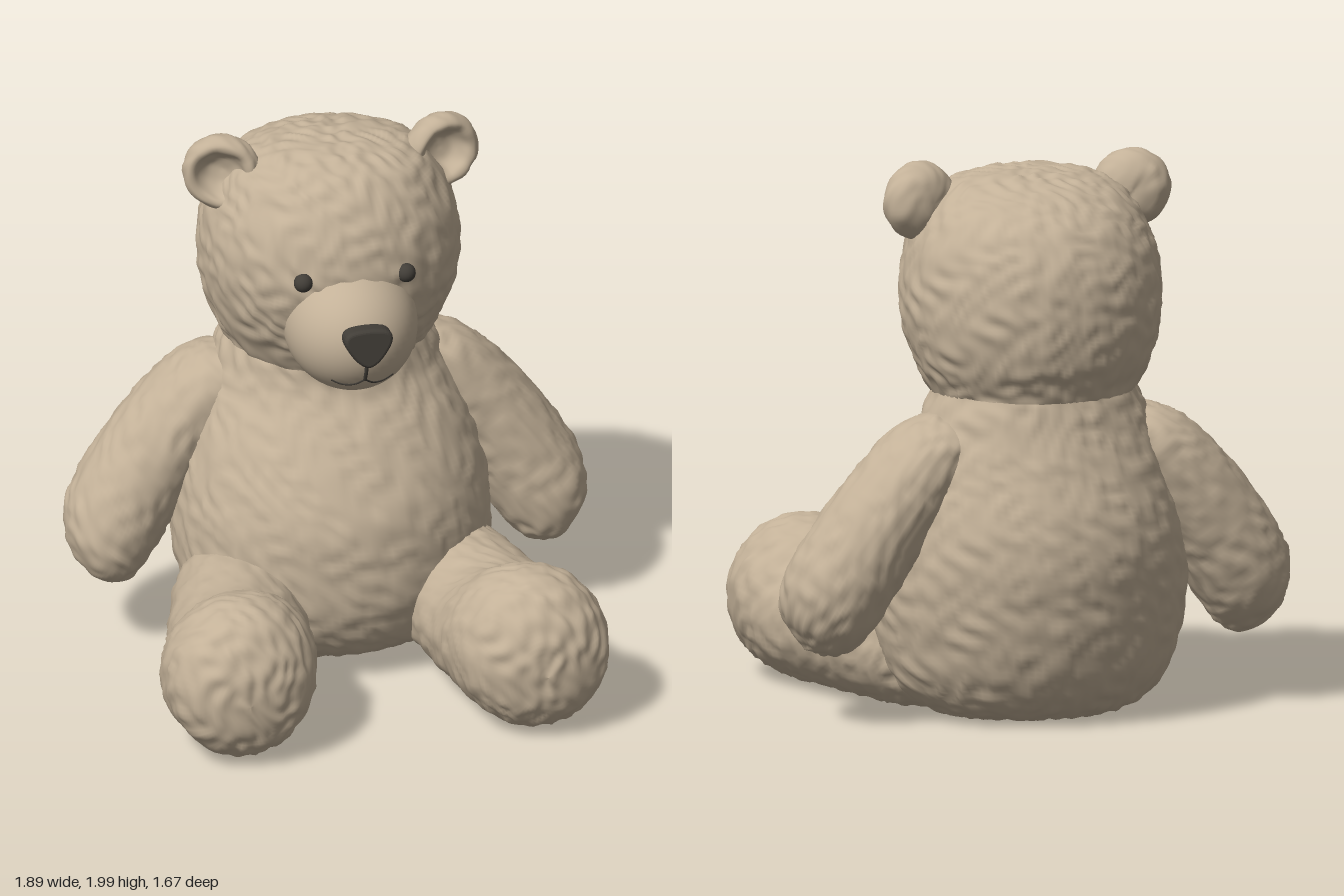
import * as THREE from 'three';
import { mergeVertices } from 'three/addons/utils/BufferGeometryUtils.js';

const V = (x, y, z) => new THREE.Vector3(x, y, z);
const plush = new THREE.MeshStandardMaterial({ color: 0xc3b198 });
plush.name = 'tan plush';
const dark = new THREE.MeshStandardMaterial({ color: 0x423e38 });
dark.name = 'dark trim';

// Smooth, warped ripple in about -1..1, stretched along y like tufts of pile
function ripple(p) {
  const a = p.x * 62 + 2.1 * Math.sin(p.y * 23 + p.z * 17);
  const b = p.y * 38 + 2.3 * Math.sin(p.z * 29 - p.x * 21);
  const c = p.z * 62 + 2.2 * Math.sin(p.x * 26 + p.y * 19);
  return (Math.sin(a) * Math.cos(b) + Math.sin(b + 1) * Math.cos(c) + Math.sin(c) * Math.cos(a)) / 2;
}

// Push the surface in and out to make it look furry; keep it above the floor
function fur(geometry, amount) {
  geometry.computeVertexNormals();
  const pos = geometry.attributes.position, nor = geometry.attributes.normal;
  const p = V(), n = V();
  for (let i = 0; i < pos.count; i++) {
    p.fromBufferAttribute(pos, i);
    n.fromBufferAttribute(nor, i);
    p.addScaledVector(n, amount * ripple(p));
    pos.setXYZ(i, p.x, Math.max(p.y, 0.006), p.z);
  }
  geometry.computeVertexNormals();
  return geometry;
}

// Loft elliptical rings [x, y, z, radius along u, radius along v]
function loft(rings, axis, u, around, along) {
  const v = axis.clone().cross(u);
  const smooth = (pts) => new THREE.CatmullRomCurve3(pts, false, 'catmullrom', 0.5);
  const centres = smooth(rings.map((r) => V(r[0], r[1], r[2])));
  const radii = smooth(rings.map((r) => V(r[3], r[4], 0)));
  const pos = [], index = [];
  for (let i = 0; i <= along; i++) {
    const c = centres.getPoint(i / along), r = radii.getPoint(i / along);
    for (let j = 0; j < around; j++) {
      const t = (j / around) * Math.PI * 2;
      const p = c.clone()
        .addScaledVector(u, Math.max(r.x, 0) * Math.cos(t))
        .addScaledVector(v, Math.max(r.y, 0) * Math.sin(t));
      pos.push(p.x, p.y, p.z);
      if (i < along) {
        const a = i * around + j, b = i * around + ((j + 1) % around);
        index.push(a, b, a + around, b, b + around, a + around);
      }
    }
  }
  const g = new THREE.BufferGeometry();
  g.setAttribute('position', new THREE.Float32BufferAttribute(pos, 3));
  g.setIndex(index);
  return g;
}

export function createModel() {
  const bear = new THREE.Group();
  bear.name = 'teddyBear';
  const add = (name, geometry, material) => {
    const m = new THREE.Mesh(geometry, material);
    m.name = name;
    bear.add(m);
    return m;
  };
  const X = V(1, 0, 0), Y = V(0, 1, 0), Z = V(0, 0, 1);
  // Upright rings: [y, x radius, z centre, z radius]
  const upright = (rows) => loft(rows.map(([y, rx, z, rz]) => [0, y, z, rx, rz]), Y, X, 128, 96);

  // Pear-shaped body
  add('body', fur(upright([
    [0.01, 0, -0.33, 0], [0.012, 0.26, -0.33, 0.2], [0.05, 0.4, -0.3, 0.34],
    [0.15, 0.5, -0.275, 0.45], [0.3, 0.55, -0.27, 0.51], [0.45, 0.57, -0.28, 0.53],
    [0.6, 0.56, -0.295, 0.535], [0.75, 0.53, -0.315, 0.5], [0.9, 0.48, -0.335, 0.435],
    [1.05, 0.42, -0.36, 0.36], [1.17, 0.37, -0.355, 0.335], [1.28, 0.3, -0.35, 0.28], [1.3, 0, -0.35, 0],
  ]), 0.008), plush);

  // Head
  add('head', fur(upright([
    [1.07, 0, -0.33, 0], [1.09, 0.28, -0.33, 0.27], [1.15, 0.35, -0.34, 0.335],
    [1.22, 0.39, -0.335, 0.37], [1.3, 0.425, -0.33, 0.415], [1.4, 0.455, -0.32, 0.445],
    [1.5, 0.465, -0.312, 0.458], [1.6, 0.46, -0.308, 0.455], [1.7, 0.44, -0.305, 0.43],
    [1.8, 0.395, -0.3, 0.375], [1.88, 0.335, -0.285, 0.295], [1.93, 0.245, -0.275, 0.195],
    [1.952, 0.12, -0.27, 0.09], [1.956, 0, -0.27, 0],
  ]), 0.008), plush);

  // Smooth muzzle
  const muzzle = add('muzzle', new THREE.SphereGeometry(1, 48, 32), plush);
  muzzle.scale.set(0.238, 0.236, 0.272);
  muzzle.position.set(0, 1.362, 0.038);
  const onMuzzle = (x, y) =>
    V(x, y, 0.038 + 0.272 * Math.sqrt(1 - (x / 0.238) ** 2 - ((y - 1.362) / 0.236) ** 2));

  // Rounded triangular nose
  const tri = new THREE.Shape();
  tri.moveTo(0, -0.06);
  tri.quadraticCurveTo(0.03, -0.055, 0.065, 0.005);
  tri.quadraticCurveTo(0.09, 0.05, 0.05, 0.057);
  tri.quadraticCurveTo(0, 0.066, -0.05, 0.057);
  tri.quadraticCurveTo(-0.09, 0.05, -0.065, 0.005);
  tri.quadraticCurveTo(-0.03, -0.055, 0, -0.06);
  const nose = add('nose', new THREE.ExtrudeGeometry(tri, {
    depth: 0.04, bevelThickness: 0.018, bevelSize: 0.013, bevelSegments: 4, curveSegments: 8,
  }), dark);
  nose.position.set(0, 1.394, 0.295);
  nose.rotation.x = -0.08;

  // Stitched mouth: one upright line and a curve to each side
  const stitch = (name, points, r) => add(name, new THREE.TubeGeometry(
    new THREE.CatmullRomCurve3(points.map(([x, y]) => onMuzzle(x, y))), 24, r, 6), dark);
  stitch('mouthLine', [[0, 1.34], [0, 1.29], [0, 1.245]], 0.007);

  for (const s of [1, -1]) {
    const side = s > 0 ? 'left' : 'right';
    stitch(side + 'MouthCurve', [[0, 1.247], [s * 0.035, 1.223], [s * 0.075, 1.22], [s * 0.112, 1.236]], 0.004);

    // Button eyes
    const eye = add(side + 'Eye', new THREE.SphereGeometry(0.034, 20, 14), dark);
    eye.position.set(s * 0.187, 1.57, 0.113);

    // Ears: round, with a hollow front
    let ear = new THREE.LatheGeometry(new THREE.SplineCurve([
      [0, -0.075], [0.06, -0.07], [0.11, -0.045], [0.138, 0], [0.137, 0.04], [0.118, 0.066],
      [0.095, 0.062], [0.075, 0.035], [0.045, 0.008], [0, 0],
    ].map(([r, h]) => new THREE.Vector2(r, h))).getPoints(36), 48);
    ear.rotateX(Math.PI / 2).rotateY(s * 0.3).translate(s * 0.393, 1.857, -0.275);
    ear.deleteAttribute('uv');
    ear.deleteAttribute('normal');
    ear = mergeVertices(ear);
    add(side + 'Ear', fur(ear, 0.004), plush);

    // Arms hang out and down from the shoulders
    const armAxis = V(s * 0.62, -0.785, 0).normalize();
    const armOut = V(s * 0.785, 0.62, 0).normalize();
    add(side + 'Arm', fur(loft([
      [0.28, 1.1, -0.4, 0, 0], [0.33, 1.04, -0.4, 0.11, 0.15], [0.43, 0.95, -0.41, 0.155, 0.19],
      [0.56, 0.79, -0.41, 0.178, 0.2], [0.68, 0.62, -0.4, 0.187, 0.205], [0.775, 0.465, -0.38, 0.185, 0.2],
      [0.82, 0.375, -0.36, 0.155, 0.17], [0.845, 0.315, -0.345, 0.1, 0.11], [0.855, 0.28, -0.34, 0, 0],
    ].map(([x, ...r]) => [s * x, ...r]), armAxis, armOut, 72, 64), 0.007), plush);

    // Legs point forward and end in upturned feet
    add(side + 'Leg', fur(loft([
      [0.32, 0.24, -0.34, 0, 0], [0.33, 0.24, -0.29, 0.17, 0.17], [0.36, 0.25, -0.15, 0.235, 0.235],
      [0.42, 0.25, 0.08, 0.25, 0.24], [0.475, 0.25, 0.33, 0.265, 0.243], [0.51, 0.285, 0.48, 0.28, 0.282],
      [0.525, 0.298, 0.59, 0.277, 0.292], [0.535, 0.295, 0.7, 0.25, 0.268], [0.54, 0.285, 0.77, 0.195, 0.21],
      [0.54, 0.28, 0.815, 0.11, 0.125], [0.54, 0.275, 0.83, 0, 0],
    ].map(([x, ...r]) => [s * x, ...r]), Z, X, 80, 72), 0.008), plush);
  }
  return bear;
}
